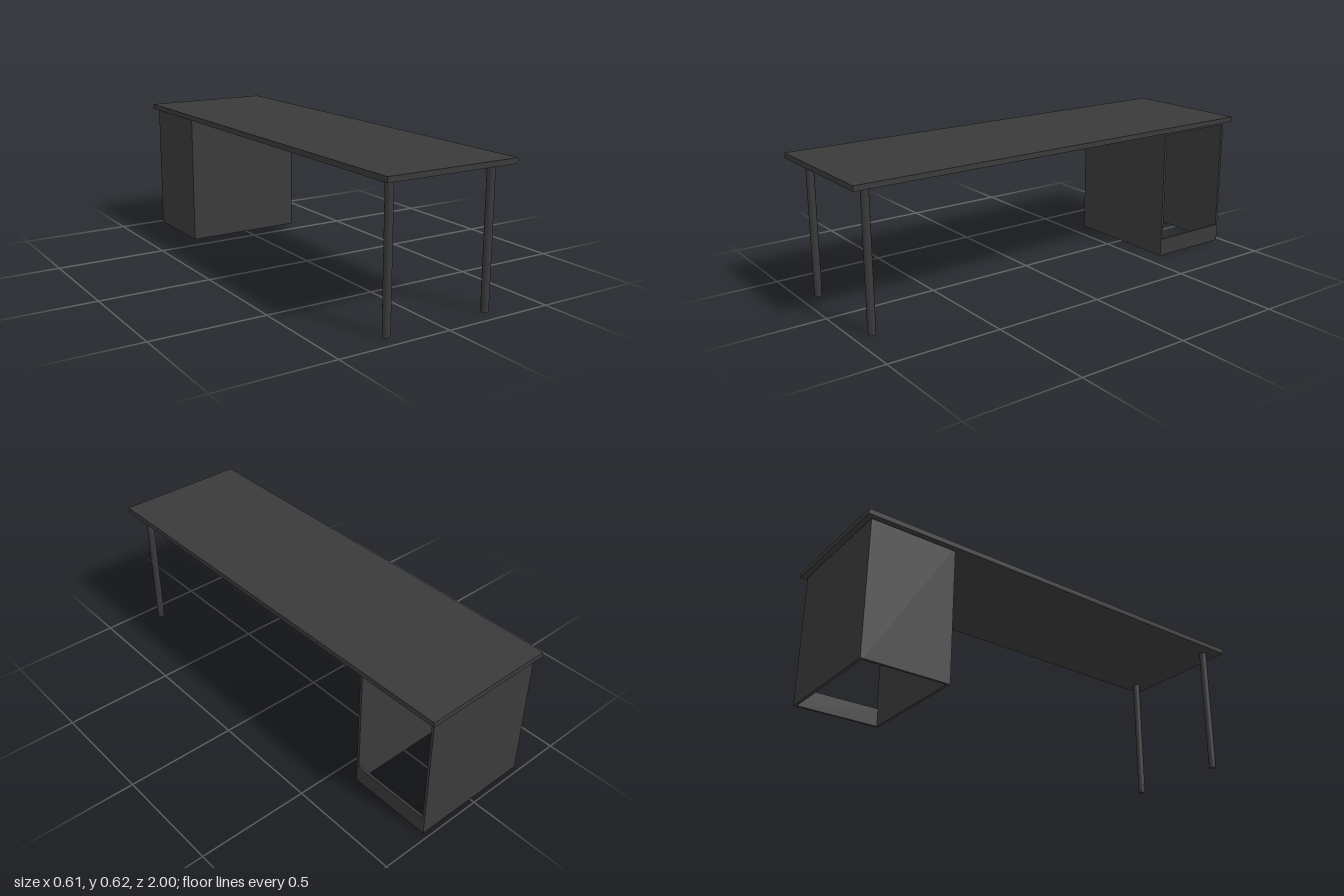
import * as THREE from 'three';

const material = new THREE.MeshStandardMaterial({ color: 0x3a3a3a });

// Box given by its lower and upper corners
function box(name, [x0, y0, z0], [x1, y1, z1]) {
  const mesh = new THREE.Mesh(new THREE.BoxGeometry(x1 - x0, y1 - y0, z1 - z0), material);
  mesh.position.set((x0 + x1) / 2, (y0 + y1) / 2, (z0 + z1) / 2);
  mesh.name = name;
  return mesh;
}

// Round post standing on a slightly narrower, tapered foot
function makeLeg(name, x, z) {
  const leg = new THREE.Group();
  leg.name = name;
  const post = new THREE.Mesh(new THREE.CylinderGeometry(0.0168, 0.0168, 0.562, 16), material);
  post.name = 'legPost';
  post.position.y = 0.04 + 0.281;
  const foot = new THREE.Mesh(new THREE.CylinderGeometry(0.0162, 0.0148, 0.04, 16), material);
  foot.name = 'legFoot';
  foot.position.y = 0.02;
  leg.add(post, foot);
  leg.position.set(x, 0, z);
  return leg;
}

// Cabinet shell, open underneath and on its left side above the plinth
function makeCabinet() {
  const cabinet = new THREE.Group();
  cabinet.name = 'cabinet';
  const x0 = -0.285, x1 = 0.275, z0 = -0.977, z1 = -0.59, top = 0.598, t = 0.012;
  cabinet.add(
    box('cabinetBackWall', [x0, 0, z0], [x1, top, z0 + t]),
    box('cabinetFrontWall', [x0, 0, z1 - t], [x1, top, z1]),
    box('cabinetClosedSide', [x0, 0, z0 + t], [x0 + t, top, z1 - t]),
    box('cabinetTop', [x0 + t, top - t, z0 + t], [x1, top, z1 - t]),
    box('cabinetPlinth', [x1 - t, 0, z0 + t], [x1, 0.08, z1 - t])
  );
  return cabinet;
}

export function createModel() {
  const desk = new THREE.Group();
  desk.name = 'desk';
  desk.add(
    box('tabletop', [-0.305, 0.602, -1], [0.305, 0.625, 1]),
    makeCabinet(),
    makeLeg('rightLeg', -0.239, 0.924),
    makeLeg('leftLeg', 0.242, 0.924)
  );
  return desk;
}
